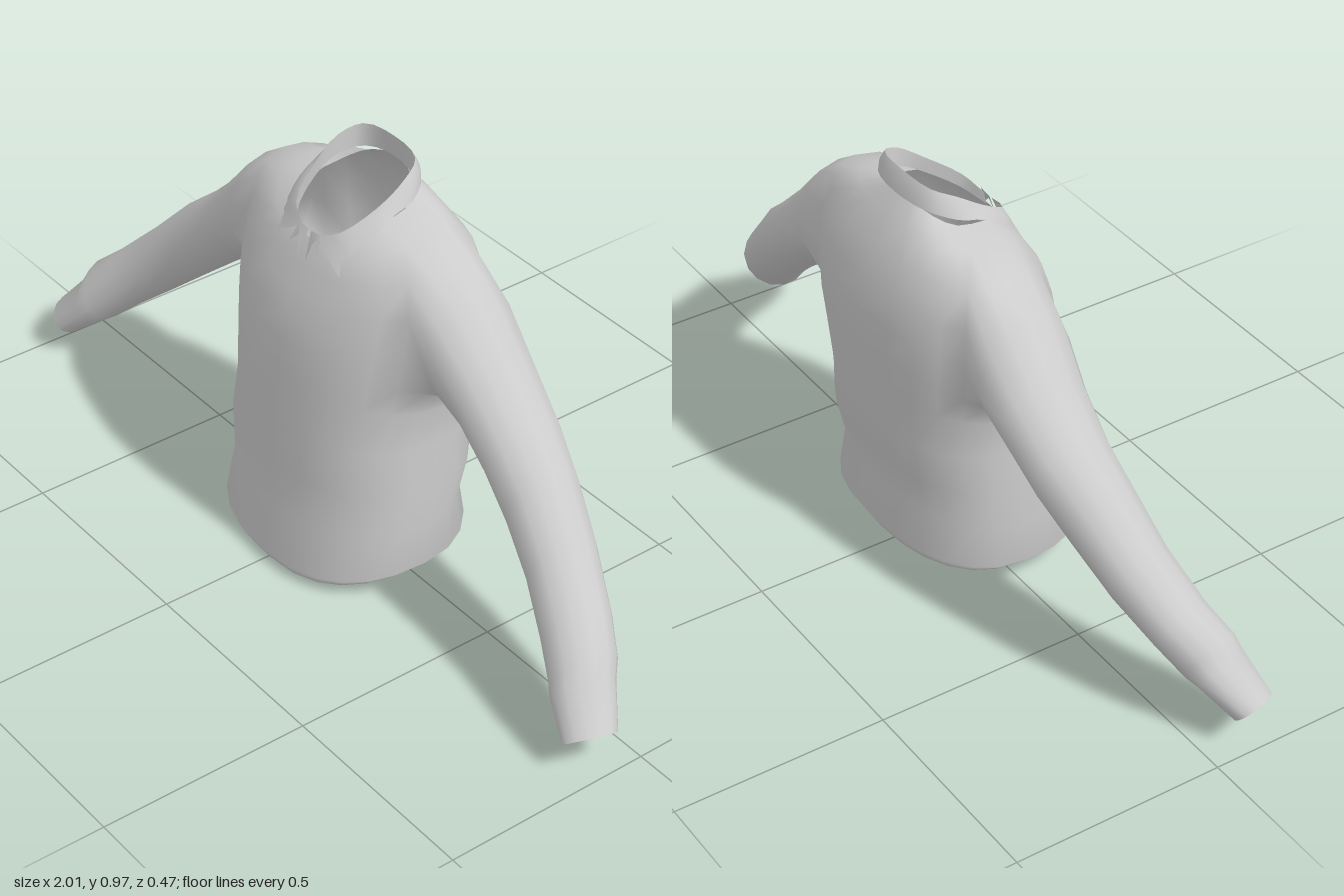
import * as THREE from 'three';

const cloth = new THREE.MeshStandardMaterial({ color: 0xcccccc, side: THREE.DoubleSide });
cloth.name = 'grey cloth';

const COLS = 24;
// torso rows: half width, y front/side/back, z front/side/back
const ROWS = [
  [0.268, 0.004, 0.045, 0.055, 0.222, 0.01, -0.19],
  [0.295, 0.032, 0.07, 0.10, 0.237, 0.01, -0.217],
  [0.288, 0.15, 0.165, 0.20, 0.211, 0.0, -0.196],
  [0.302, 0.27, 0.27, 0.30, 0.207, -0.01, -0.219],
  [0.287, 0.38, 0.38, 0.39, 0.2, -0.02, -0.226],
  [0.3, 0.51, 0.48, 0.51, 0.192, -0.04, -0.231],
  [0.312, 0.59, 0.535, 0.60, 0.182, -0.05, -0.235],
  [0.32, 0.645, 0.63, 0.67, 0.17, -0.055, -0.234],
  [0.32, 0.70, 0.74, 0.74, 0.151, -0.06, -0.224],
  [0.3, 0.755, 0.828, 0.815, 0.126, -0.055, -0.197],
  [0.21, 0.785, 0.858, 0.878, 0.112, -0.045, -0.162],
  [0.123, 0.805, 0.872, 0.922, 0.1, -0.03, -0.13],
];
const HOLE = { low: 6, high: 9, half: 2 };

// sleeve rings: top x/y, bottom x/y, z front, z back, x lean of the front edge
const SLEEVE = [
  [0.37, 0.78, 0.34, 0.53, 0.062, -0.172, 0],
  [0.46, 0.68, 0.41, 0.492, 0.048, -0.163, 0],
  [0.56, 0.585, 0.50, 0.42, 0.046, -0.148, -0.005],
  [0.65, 0.51, 0.59, 0.345, 0.054, -0.122, -0.01],
  [0.75, 0.405, 0.69, 0.26, 0.072, -0.088, -0.015],
  [0.85, 0.305, 0.78, 0.185, 0.105, -0.045, -0.02],
  [0.912, 0.25, 0.842, 0.128, 0.134, -0.01, -0.02],
  [0.93, 0.205, 0.865, 0.112, 0.146, 0.01, -0.02],
  [0.998, 0.12, 0.932, 0.062, 0.168, 0.058, -0.018],
];

const quad = (index, a, b, c, d, flip) =>
  flip ? index.push(a, c, b, c, d, b) : index.push(a, b, c, c, b, d);

// torso and sleeves share one set of points, so the armholes join smoothly
function buildShirt(group) {
  const pos = [], torso = [];
  const pow = (v) => Math.sign(v) * Math.abs(v) ** 0.85;
  const id = (row, col) => row * COLS + ((col + COLS) % COLS);

  for (const [w, yf, ys, yb, zf, zs, zb] of ROWS) {
    for (let j = 0; j < COLS; j++) {
      const a = (j / COLS) * Math.PI * 2;
      const s = pow(Math.sin(a)), front = s > 0;
      pos.push(w * pow(Math.cos(a)),
        ys + ((front ? yf : yb) - ys) * s * s,
        zs + ((front ? zf : zb) - zs) * Math.abs(s));
    }
  }
  for (let i = 0; i < ROWS.length - 1; i++) {
    for (let j = 0; j < COLS; j++) {
      const inHole = [0, COLS / 2, COLS].some((c) => j >= c - HOLE.half && j < c + HOLE.half);
      if (inHole && i >= HOLE.low && i < HOLE.high) continue;
      quad(torso, id(i, j), id(i + 1, j), id(i, j + 1), id(i + 1, j + 1));
    }
  }

  // edge of the armhole, from its lowest point towards the front
  const { low, high, half } = HOLE, edge = [];
  for (let c = 0; c <= half; c++) edge.push([low, c]);
  for (let r = low + 1; r <= high; r++) edge.push([r, half]);
  for (let c = half - 1; c >= -half; c--) edge.push([high, c]);
  for (let r = high - 1; r >= low; r--) edge.push([r, -half]);
  for (let c = 1 - half; c < 0; c++) edge.push([low, c]);

  const sleeves = [1, -1].map((side) => {
    const index = [], n = edge.length;
    let previous = edge.map(([r, c]) => id(r, side > 0 ? c : COLS / 2 - c));
    for (const [tx, ty, bx, by, zf, zb, lean] of SLEEVE) {
      const ring = [];
      for (let k = 0; k < n; k++) {
        const t = (k / n) * Math.PI * 2, up = -Math.cos(t), fwd = Math.sin(t);
        ring.push(pos.length / 3);
        pos.push(side * ((tx + bx) / 2 + up * (tx - bx) / 2 + fwd * lean),
          (ty + by) / 2 + up * (ty - by) / 2,
          (zf + zb) / 2 + fwd * (zf - zb) / 2);
      }
      for (let k = 0; k < n; k++) {
        const m = (k + 1) % n;
        quad(index, previous[k], ring[k], previous[m], ring[m], side < 0);
      }
      previous = ring;
    }
    return index;
  });

  const whole = new THREE.BufferGeometry();
  whole.setAttribute('position', new THREE.Float32BufferAttribute(pos, 3));
  whole.setIndex([...torso, ...sleeves[0], ...sleeves[1]]);
  whole.computeVertexNormals();
  [['torso', torso], ['leftSleeve', sleeves[0]], ['rightSleeve', sleeves[1]]].forEach(([name, index]) => {
    const part = new THREE.BufferGeometry();
    part.setAttribute('position', whole.getAttribute('position'));
    part.setAttribute('normal', whole.getAttribute('normal'));
    part.setIndex(index);
    addMesh(group, name, part);
  });
}

function addMesh(group, name, geometry) {
  const mesh = new THREE.Mesh(geometry, cloth);
  mesh.name = name;
  group.add(mesh);
}

// smooth line from the left front, round the back, to the right front
function neckLine(half, steps) {
  const points = half.map((p) => new THREE.Vector3(...p));
  const mirrored = points.slice(0, -1).reverse().map((p) => new THREE.Vector3(-p.x, p.y, p.z));
  return new THREE.CatmullRomCurve3([...points, ...mirrored], false, 'centripetal').getPoints(steps);
}

// surface between neighbouring lines of equal length
function loft(lines) {
  const n = lines[0].length, index = [];
  for (let v = 0; v < lines.length - 1; v++) {
    for (let u = 0; u < n - 1; u++) {
      const a = v * n + u;
      quad(index, a, a + n, a + 1, a + n + 1);
    }
  }
  const geometry = new THREE.BufferGeometry().setFromPoints(lines.flat());
  geometry.setIndex(index);
  geometry.computeVertexNormals();
  return geometry;
}

function buildCollar(group) {
  const steps = 30;
  const base = neckLine([[0.015, 0.8, 0.1], [0.08, 0.818, 0.075], [0.115, 0.865, 0],
    [0.113, 0.9, -0.06], [0.08, 0.917, -0.11], [0, 0.922, -0.128]], steps);
  const fold = neckLine([[0.025, 0.824, 0.1], [0.078, 0.85, 0.078], [0.11, 0.9, 0.005],
    [0.115, 0.945, -0.06], [0.09, 0.968, -0.11], [0, 0.975, -0.124]], steps);
  const hem = neckLine([[0.12, 0.768, 0.112], [0.134, 0.825, 0.062], [0.139, 0.88, 0],
    [0.135, 0.902, -0.07], [0.092, 0.922, -0.125], [0, 0.926, -0.142]], steps);
  // the leaf bulges a little below the fold
  const bulge = fold.map((p, i) => {
    const q = p.clone().lerp(hem[i], 0.4);
    q.x *= 1.03;
    q.z += 0.004 * Math.sign(q.z);
    return q;
  });
  addMesh(group, 'collarStand', loft([base, fold]));
  addMesh(group, 'collarLeaf', loft([fold, bulge, hem]));

  // small creased flaps where the collar closes
  for (const side of [1, -1]) {
    const shape = [[0.004, 0.826, 0.1], [0.014, 0.765, 0.124], [0.024, 0.806, 0.112],
      [0.024, 0.806, 0.112], [0.05, 0.782, 0.118], [0.036, 0.83, 0.1]]
      .map(([x, y, z]) => new THREE.Vector3(side * x, y, z));
    const geometry = new THREE.BufferGeometry().setFromPoints(shape);
    geometry.setIndex(side > 0 ? [0, 1, 2, 3, 4, 5, 0, 2, 5] : [0, 2, 1, 3, 5, 4, 0, 5, 2]);
    geometry.computeVertexNormals();
    addMesh(group, side > 0 ? 'leftNeckFlap' : 'rightNeckFlap', geometry);
  }
}

export function createModel() {
  const group = new THREE.Group();
  group.name = 'collaredShirt';
  buildShirt(group);
  buildCollar(group);
  return group;
}
